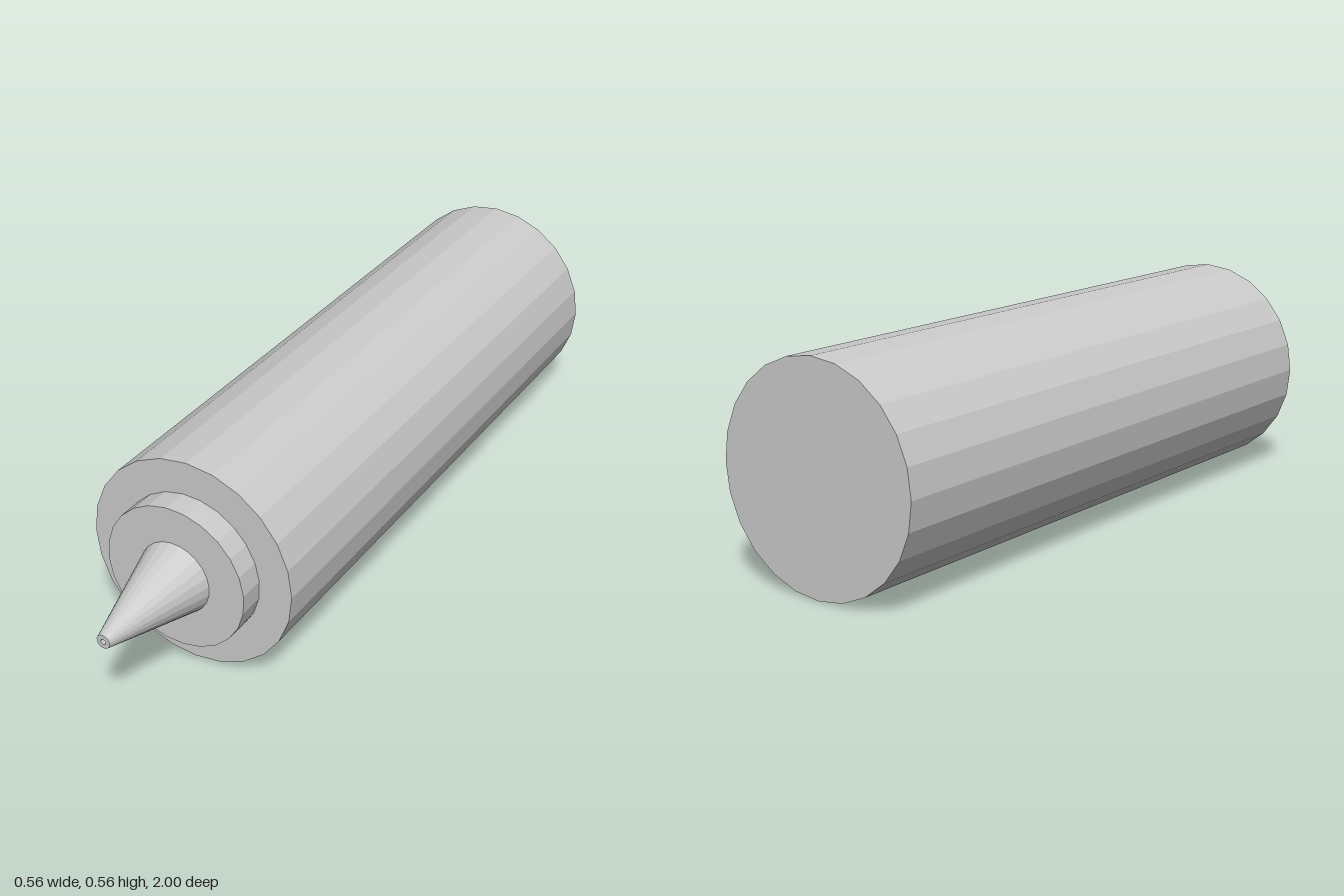
import * as THREE from 'three';

const SIDES = 24;
const AXIS_Y = 0.281;

export function createModel() {
  const group = new THREE.Group();
  const material = new THREE.MeshStandardMaterial({ color: 0xcccccc, flatShading: true });

  // Turned part along z from a profile of [radius, z] points, back to front
  function turned(name, profile, twist = 0) {
    const points = profile.map(([r, z]) => new THREE.Vector2(r, z));
    const geometry = new THREE.LatheGeometry(points, SIDES, twist);
    geometry.rotateX(Math.PI / 2);
    const mesh = new THREE.Mesh(geometry, material);
    mesh.name = name;
    mesh.position.y = AXIS_Y;
    group.add(mesh);
  }

  const twist = THREE.MathUtils.degToRad(4.5);

  // Long main barrel with closed ends
  turned('barrel', [[0, -1], [0.281, -1], [0.281, 0.65], [0, 0.65]]);

  // Short stepped collar on the front end
  turned('collar', [[0, 0.65], [0.193, 0.65], [0.193, 0.718], [0, 0.718]], twist);

  // Tapered nozzle with a blunt tip and a small shallow bore
  turned('nozzle', [
    [0, 0.718], [0.097, 0.718], [0.018, 1], [0.007, 1], [0.007, 0.985], [0, 0.985],
  ], twist);

  return group;
}
